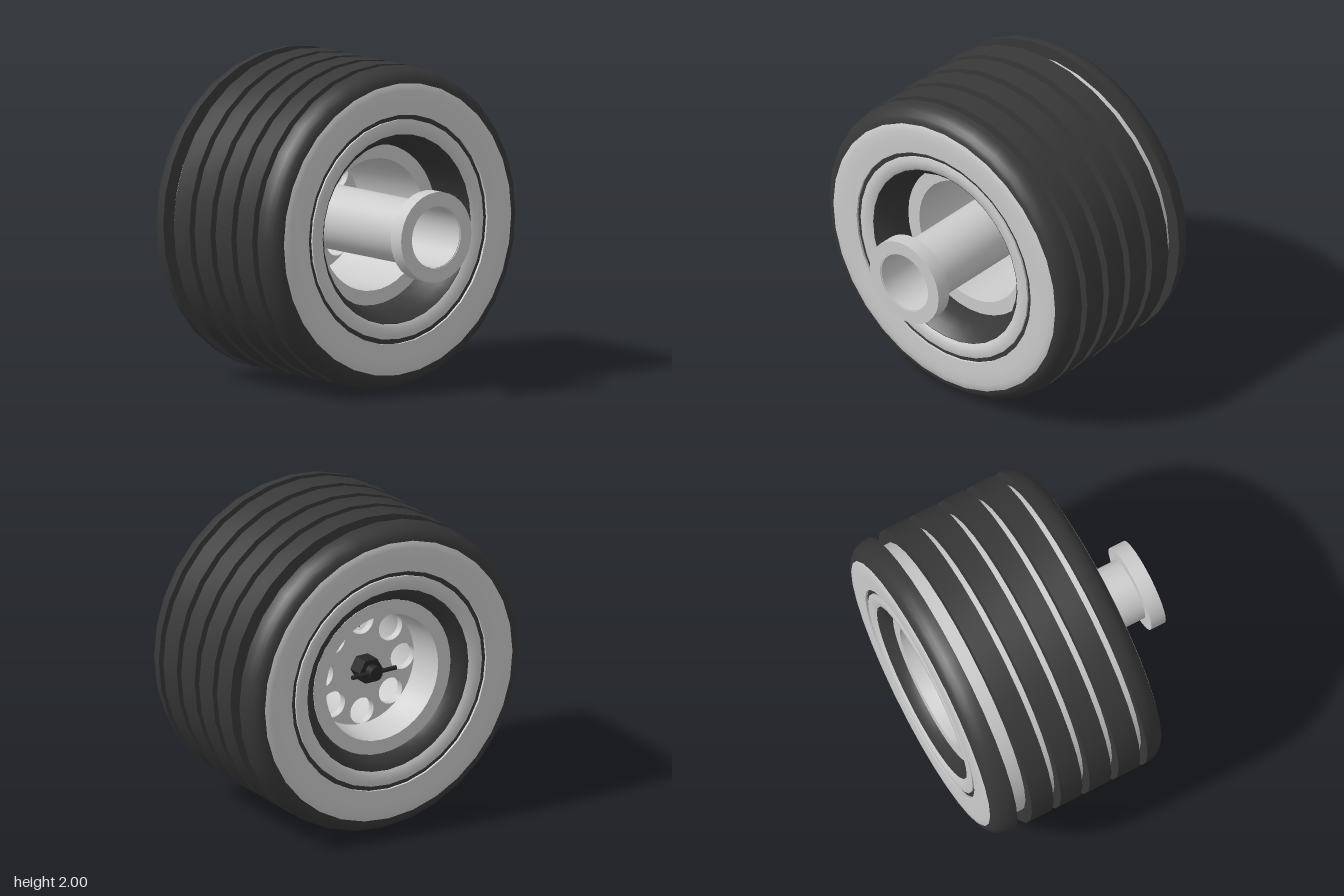
import * as THREE from 'three';
import { toCreasedNormals } from 'three/addons/utils/BufferGeometryUtils.js';

const grey = new THREE.MeshStandardMaterial({ color: 0xcccccc, side: THREE.DoubleSide });
const rubber = new THREE.MeshStandardMaterial({ color: 0x383838, side: THREE.DoubleSide });
const black = new THREE.MeshStandardMaterial({ color: 0x262626 });

export function createModel() {
  const wheel = new THREE.Group();
  wheel.name = 'wheel';

  const add = (name, geometry, material) => {
    const mesh = new THREE.Mesh(geometry, material);
    mesh.name = name;
    wheel.add(mesh);
    return mesh;
  };

  // Closed ring around the x axis; profile is [radius, x], counterclockwise
  const ring = (name, profile, material, segments = 32) => {
    const pts = [...profile, profile[0]].map(([r, x]) => new THREE.Vector2(r, x));
    const g = new THREE.LatheGeometry(pts, segments).rotateZ(-Math.PI / 2);
    return add(name, toCreasedNormals(g, 0.6), material);
  };
  const band = (name, x0, x1, r0, r1, material, segments) =>
    ring(name, [[r0, x0], [r1, x0], [r1, x1], [r0, x1]], material, segments);

  // Tyre: grey carcass at the groove floor, dark tread bands on top
  const mid = -0.18;
  band('carcass', -0.74, 0.38, 0.72, 0.915, grey);
  for (let i = 0; i < 4; i++) {
    const x = -0.53 + i * 0.2;
    band('treadBand', x, x + 0.15, 0.9, 1, rubber);
  }

  // Parts that repeat on both sides, described by their distance from the tyre's middle
  for (const side of [1, -1]) {
    const mirrored = (name, profile, material) => {
      const p = profile.map(([r, d]) => [r, mid + side * d]);
      ring(name, side > 0 ? p : p.reverse(), material);
    };
    const shoulder = [[0.9, 0.45], [1, 0.45]];
    for (let i = 1; i <= 6; i++) {
      const a = (i / 6) * Math.PI / 2;
      shoulder.push([0.9 + 0.1 * Math.cos(a), 0.45 + 0.14 * Math.sin(a)]);
    }
    mirrored('shoulder', shoulder, rubber);
    mirrored('sidewall', [[0.71, 0.55], [0.915, 0.55], [0.918, 0.58], [0.9, 0.592],
      [0.86, 0.598], [0.8, 0.6], [0.71, 0.595]], grey);
    mirrored('bead', [[0.585, 0.55], [0.68, 0.55], [0.68, 0.592], [0.655, 0.598],
      [0.61, 0.594], [0.585, 0.578]], grey);
  }

  // Dark inner core of the tyre, with a bore flaring to both sides
  ring('tyreCore', [[0.5, -0.69], [0.53, -0.73], [0.585, -0.76], [0.75, -0.76], [0.75, 0.4],
    [0.585, 0.4], [0.54, 0.35], [0.51, 0.27], [0.5, 0.17]], rubber);

  // Rim barrel with flat lips and a dish on both sides
  ring('rim', [[0.38, -0.47], [0.395, -0.54], [0.41, -0.695], [0.5, -0.695], [0.5, 0.175],
    [0.41, 0.175], [0.405, -0.1], [0.395, -0.3], [0.38, -0.42]], grey, 40);

  // Hub plate with eight round holes
  const plate = new THREE.Shape().absarc(0, 0, 0.39, 0, Math.PI * 2);
  for (let i = 0; i < 8; i++) {
    const a = (i * Math.PI) / 4;
    plate.holes.push(new THREE.Path().absarc(0.295 * Math.cos(a), 0.295 * Math.sin(a), 0.085, 0, Math.PI * 2, true));
  }
  const plateGeometry = new THREE.ExtrudeGeometry(plate, { depth: 0.05, bevelEnabled: false, curveSegments: 20 });
  plateGeometry.rotateY(Math.PI / 2).translate(-0.47, 0, 0);
  add('hubPlate', toCreasedNormals(plateGeometry, 0.6), grey);

  // Hollow axle with end flange and a stepped floor inside
  band('axleTube', -0.44, 0.775, 0.19, 0.2, grey);
  band('axleFlange', 0.68, 0.78, 0.195, 0.28, grey);
  add('axleFloor', new THREE.CylinderGeometry(0.14, 0.14, 0.04, 32).rotateZ(Math.PI / 2), grey)
    .position.x = -0.4;

  // Hex centre nut with locking pin
  add('centreNut', toCreasedNormals(new THREE.CylinderGeometry(0.085, 0.085, 0.11, 6).rotateZ(Math.PI / 2), 0.5), black)
    .position.x = -0.52;
  add('nutStud', new THREE.CylinderGeometry(0.045, 0.045, 0.07, 16).rotateZ(Math.PI / 2), black)
    .position.x = -0.6;
  add('lockingPin', new THREE.CylinderGeometry(0.014, 0.014, 0.32, 10).rotateX(Math.PI / 2), black)
    .position.x = -0.605;

  wheel.position.y = 1;
  const model = new THREE.Group();
  model.add(wheel);
  return model;
}
